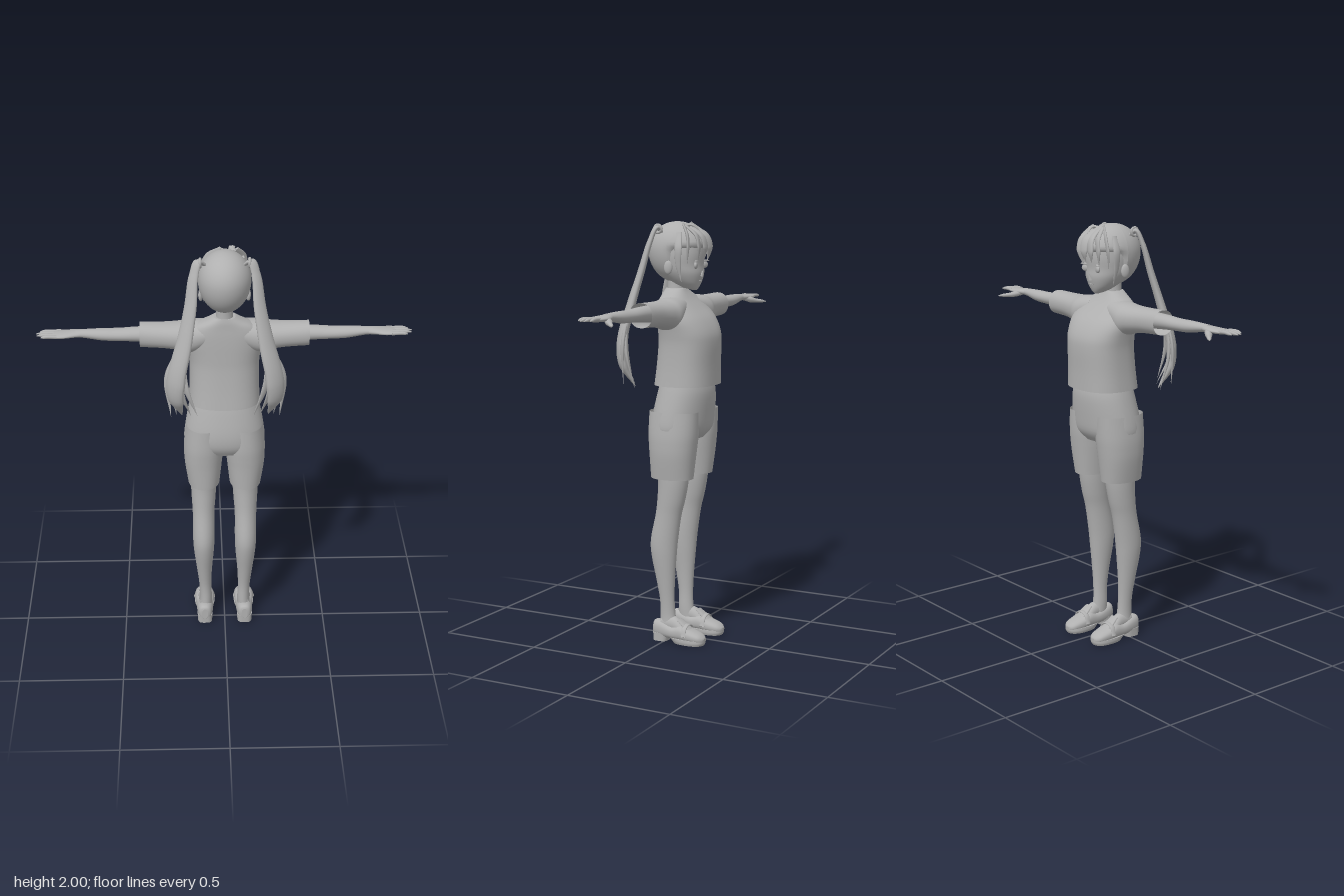
import * as THREE from 'three';

const grey = new THREE.MeshStandardMaterial({ color: 0xb0b0b0, side: THREE.DoubleSide });
grey.name = 'plain grey';
const V = (x, y, z) => new THREE.Vector3(x, y, z);

// Skin over a list of rings; capped ends get their own vertices so they stay crisp
function skin(rings, capStart = true, capEnd = true) {
  const n = rings[0].length, pos = [], idx = [];
  rings.forEach(r => r.forEach(p => pos.push(p.x, p.y, p.z)));
  for (let i = 0; i < rings.length - 1; i++)
    for (let j = 0; j < n; j++) {
      const a = i * n + j, b = i * n + (j + 1) % n;
      idx.push(a, b, a + n, b, b + n, a + n);
    }
  const cap = (ring, flip) => {
    const base = pos.length / 3, c = V(0, 0, 0);
    ring.forEach(p => { pos.push(p.x, p.y, p.z); c.addScaledVector(p, 1 / n); });
    pos.push(c.x, c.y, c.z);
    for (let j = 0; j < n; j++) {
      const a = base + j, b = base + (j + 1) % n;
      flip ? idx.push(b, a, base + n) : idx.push(a, b, base + n);
    }
  };
  if (capStart) cap(rings[0], true);
  if (capEnd) cap(rings[rings.length - 1], false);
  // Turn the skin outward if it came out inside out
  const mid = V(0, 0, 0), P = i => V(pos[3 * i], pos[3 * i + 1], pos[3 * i + 2]).sub(mid);
  rings.forEach(r => r.forEach(p => mid.addScaledVector(p, 1 / (n * rings.length))));
  let vol = 0;
  for (let i = 0; i < idx.length; i += 3) vol += P(idx[i]).dot(P(idx[i + 1]).cross(P(idx[i + 2])));
  if (vol < 0) idx.reverse();
  const g = new THREE.BufferGeometry();
  g.setAttribute('position', new THREE.Float32BufferAttribute(pos, 3));
  g.setIndex(idx);
  g.computeVertexNormals();
  return g;
}

// Smooth interpolation between table rows
function smoothRows(rows, steps) {
  const out = [], at = i => rows[Math.max(0, Math.min(rows.length - 1, i))];
  for (let i = 0; i < rows.length - 1; i++)
    for (let s = 0; s < steps; s++) {
      const t = s / steps;
      out.push(rows[i].map((p1, k) => {
        const p0 = at(i - 1)[k], p2 = at(i + 1)[k], p3 = at(i + 2)[k];
        return p1 + 0.5 * t * (p2 - p0 + t * (2 * p0 - 5 * p1 + 4 * p2 - p3 + t * (3 * (p1 - p2) + p3 - p0)));
      }));
    }
  out.push(rows[rows.length - 1]);
  return out;
}

// Loft along an axis; rows are [position, aMin, aMax, bMin, bMax], n is the squareness
function loft(axis, rows, { n = 2, steps = 4, seg = 32, side = 1, capStart = true, capEnd = true } = {}) {
  const rings = smoothRows(rows, steps).map(([t, a0, a1, b0, b1]) =>
    Array.from({ length: seg }, (_, j) => {
      const w = j / seg * Math.PI * 2, c = Math.cos(w), s = Math.sin(w);
      const a = (a0 + a1) / 2 + (a1 - a0) / 2 * Math.sign(c) * Math.abs(c) ** (2 / n);
      const b = (b0 + b1) / 2 + (b1 - b0) / 2 * Math.sign(s) * Math.abs(s) ** (2 / n);
      const p = axis === 'y' ? V(a, t, b) : axis === 'x' ? V(t, a, b) : V(a, b, t);
      p.x *= side;
      return p;
    }));
  return skin(rings, capStart, capEnd);
}

// Flat oval strand along a path; widths run along it, u is the broad direction
function strand(path, widths, flat, u, side = 1, seg = 10, steps = 24) {
  const curve = new THREE.CatmullRomCurve3(path.map(p => V(p[0] * side, p[1], p[2])));
  const broad = V(u[0] * side, u[1], u[2]), rings = [];
  for (let i = 0; i <= steps; i++) {
    const t = i / steps, f = t * (widths.length - 1), k = Math.min(Math.floor(f), widths.length - 2);
    const w = THREE.MathUtils.lerp(widths[k], widths[k + 1], f - k);
    const c = curve.getPoint(t), T = curve.getTangent(t);
    const a = broad.clone().addScaledVector(T, -broad.dot(T)).normalize(), b = T.clone().cross(a);
    rings.push(Array.from({ length: seg }, (_, j) => {
      const q = j / seg * Math.PI * 2;
      return c.clone().addScaledVector(a, w * Math.cos(q)).addScaledVector(b, w * flat * Math.sin(q));
    }));
  }
  return skin(rings);
}

export function createModel() {
  const model = new THREE.Group();
  const add = (name, g) => {
    const m = new THREE.Mesh(g, grey);
    m.name = name;
    model.add(m);
    return m;
  };
  const ball = (name, p, r) => {
    const m = add(name, new THREE.SphereGeometry(1, 24, 16));
    m.position.set(...p);
    m.scale.set(...r);
    return m;
  };

  // Shirt body, open at the hem
  add('shirt', loft('y', [[1.24, -.168, .168, -.205, .08], [1.33, -.163, .163, -.205, .068],
    [1.43, -.163, .163, -.208, .058], [1.49, -.17, .17, -.2, .056], [1.55, -.18, .18, -.168, .055],
    [1.60, -.175, .175, -.122, .053], [1.64, -.14, .14, -.085, .05], [1.67, -.085, .085, -.062, .048],
    [1.69, -.05, .05, -.05, .044]], { n: 2.5, seg: 48, capStart: false }));
  // Shorts seat
  add('shorts', loft('y', [[1.26, -.155, .155, -.17, .05], [1.2, -.169, .169, -.18, .066],
    [1.1, -.187, .187, -.174, .085], [1.03, -.191, .191, -.163, .083], [.985, -.165, .165, -.13, .06]],
  { n: 2.2, seg: 48 }));
  // Neck, and head from chin to crown
  add('neck', loft('y', [[1.64, -.05, .05, -.05, .05], [1.69, -.039, .039, -.042, .04], [1.78, -.04, .04, -.045, .045]]));
  add('head', loft('y', [[1.683, -.012, .012, -.108, -.085], [1.695, -.034, .034, -.117, -.04],
    [1.72, -.064, .064, -.127, .01], [1.76, -.09, .09, -.136, .06], [1.80, -.102, .102, -.134, .09],
    [1.86, -.107, .107, -.138, .1], [1.93, -.095, .095, -.125, .09], [1.97, -.05, .05, -.08, .05]], { n: 2.15 }));
  const nose = add('nose', new THREE.ConeGeometry(.011, .035, 10));
  nose.position.set(0, 1.765, -.139);
  nose.rotation.x = -.35;
  ball('mouth', [0, 1.727, -.128], [.014, .003, .004]);

  // Hair cap: a sphere tucked in behind the face and drawn down to the nape
  const cap = new THREE.SphereGeometry(1, 48, 32), cp = cap.attributes.position;
  for (let i = 0; i < cp.count; i++) {
    const x = cp.getX(i), y = cp.getY(i), z = cp.getZ(i);
    const front = THREE.MathUtils.smoothstep(-z, -.05, .45) * THREE.MathUtils.smoothstep(-y, -.2, .15);
    const k = 1 - .3 * front;
    cp.setXYZ(i, x * .121 * k, 1.87 + y * (y > 0 ? .13 : .155), -.008 + z * .143 * k);
  }
  cap.computeVertexNormals();
  add('hairCap', cap);
  // Swept fringe locks
  [[-.085, 1.80, -.095], [-.062, 1.815, -.132], [-.03, 1.83, -.15], [.012, 1.835, -.153],
    [.05, 1.82, -.14], [.083, 1.80, -.1]].forEach(([x, y, z]) =>
    add('fringeLock', strand([[.02 + x * .35, 1.985, -.065], [x * .85 + .008, 1.935, z * .82 - .018],
      [x * 1.06, 1.88, z - .008], [x, y, z]], [.018, .026, .024, .001], .3, [1, 0, -x * 6])));
  add('crownTuft', strand([[.03, 1.97, -.06], [.035, 1.985, -.1], [.02, 1.96, -.135]], [.008, .016, .002], .4, [1, 0, 0]));

  for (const s of [-1, 1]) {
    // Face details
    const eye = ball('eye', [s * .045, 1.80, -.127], [.02, .017, .009]);
    eye.rotation.y = s * .35;
    const lash = ball('eyelash', [s * .047, 1.818, -.129], [.025, .004, .008]);
    lash.rotation.y = s * .35;
    ball('ear', [s * .107, 1.79, -.015], [.011, .032, .02]).rotation.y = s * .3;
    add('sideLock', strand([[.085, 1.95, -.06], [.114, 1.88, -.07], [.108, 1.8, -.068], [.092, 1.725, -.075]],
      [.016, .02, .014, .001], .35, [0, 0, 1], s));

    // Twin tails: a full lock with thinner pointed locks around it
    const u = [1, 0, -.75];
    add('twinTail', strand([[.09, 1.955, .03], [.118, 1.972, .04], [.14, 1.91, .062], [.155, 1.78, .098], [.185, 1.62, .138],
      [.222, 1.46, .165], [.228, 1.35, .16], [.2, 1.24, .11]],
    [.014, .022, .023, .03, .036, .045, .05, .042, .003], .5, u, s, 16, 48));
    [[.245, 1.42, .135, .225, 1.235, .1], [.205, 1.42, .185, .16, 1.25, .135],
      [.262, 1.45, .14, .25, 1.25, .145], [.185, 1.43, .165, .13, 1.265, .165]].forEach(q =>
      add('tailLock', strand([[.13, 1.94, .05], [.152, 1.8, .092], [.188, 1.62, .14], q.slice(0, 3), q.slice(3)],
        [.01, .014, .018, .02, .019, .001], .45, u, s, 8, 32)));
    const tie = add('hairTie', new THREE.TorusGeometry(.018, .007, 8, 20));
    tie.position.set(s * .11, 1.967, .037);
    tie.rotation.y = Math.PI / 2;

    // Sleeve, open at the cuff, with the bare arm inside
    add('sleeve', loft('x', [[.07, 1.545, 1.655, -.1, .045], [.15, 1.505, 1.652, -.118, .05], [.2, 1.515, 1.645, -.108, .047],
      [.28, 1.527, 1.643, -.093, .04], [.388, 1.532, 1.645, -.085, .032]], { side: s, n: 2.2, capEnd: false }));
    add('arm', loft('x', [[.28, 1.55, 1.63, -.064, .024], [.4, 1.56, 1.627, -.06, .02], [.48, 1.564, 1.622, -.056, .018],
      [.56, 1.568, 1.622, -.052, .016], [.64, 1.582, 1.62, -.042, .01], [.68, 1.586, 1.618, -.042, .01]], { side: s }));
    // Hand
    add('palm', loft('x', [[.65, 1.585, 1.618, -.04, .008], [.69, 1.586, 1.616, -.05, .016],
      [.73, 1.587, 1.613, -.052, .027], [.775, 1.59, 1.611, -.046, .029], [.79, 1.596, 1.606, -.038, .024]], { side: s }));
    [.845, .862, .858, .838].forEach((tip, i) => {
      const z = -.037 + i * .02;
      add('finger', strand([[.765, 1.602, z * .95], [.81, 1.604, z], [tip, 1.6, z * 1.05]],
        [.01, .0095, .009, .008, .002], .9, [0, 0, 1], s));
    });
    add('thumb', strand([[.685, 1.597, -.028], [.725, 1.585, -.06], [.755, 1.58, -.085], [.782, 1.576, -.107]],
      [.014, .017, .012, .01, .003], .85, [0, 0, 1], s));

    // Shorts leg, open at the hem
    add('shortsLeg', loft('y', [[1.12, .01, .183, -.165, .08], [1.02, .004, .193, -.161, .083], [.96, .007, .194, -.155, .08],
      [.9, .013, .19, -.148, .076], [.8, .024, .175, -.136, .072]], { side: s, n: 2.2, capStart: false, capEnd: false }));
    // Leg down to the ankle
    add('leg', loft('y', [[.95, .035, .165, -.125, .05], [.8, .038, .164, -.115, .036], [.7, .044, .16, -.098, .04],
      [.62, .05, .156, -.078, .05], [.5, .05, .156, -.06, .076], [.42, .053, .152, -.052, .074], [.3, .063, .138, -.043, .05],
      [.2, .067, .127, -.04, .033], [.12, .064, .124, -.045, .032], [.06, .065, .13, -.06, .035]], { side: s }));
    // Slip-on shoe: foot, upper, tongue, strap, sole and heel
    add('foot', loft('z', [[.02, .07, .125, .05, .12], [-.05, .068, .13, .04, .122], [-.1, .065, .135, .03, .085]], { side: s }));
    add('shoeUpper', loft('z', [[.064, .085, .115, .028, .085], [.055, .07, .13, .02, .098], [.02, .06, .139, .016, .1],
      [-.04, .056, .143, .014, .082], [-.09, .052, .148, .012, .09], [-.13, .051, .149, .01, .074],
      [-.18, .06, .141, .01, .056], [-.2, .075, .125, .013, .042], [-.206, .09, .11, .02, .034]], { side: s, n: 2.4 }));
    add('shoeTongue', strand([[.1, .06, -.14], [.1, .085, -.105], [.1, .112, -.07]], [.025, .032, .022], .25, [1, 0, 0], s));
    add('shoeStrap', strand([[.05, .04, -.115], [.066, .077, -.112], [.1, .09, -.112], [.134, .077, -.112], [.15, .04, -.115]],
      [.014, .014], .35, [0, 0, 1], s));
    add('shoeSole', loft('y', [[0, .054, .146, -.2, -.045], [.012, .05, .15, -.206, -.035], [.026, .05, .15, -.207, -.02]],
      { side: s, n: 2.4 }));
    add('shoeHeel', loft('y', [[0, .064, .136, -.012, .062], [.04, .062, .138, -.022, .064]], { side: s, n: 3, steps: 1 }));
  }
  return model;
}
